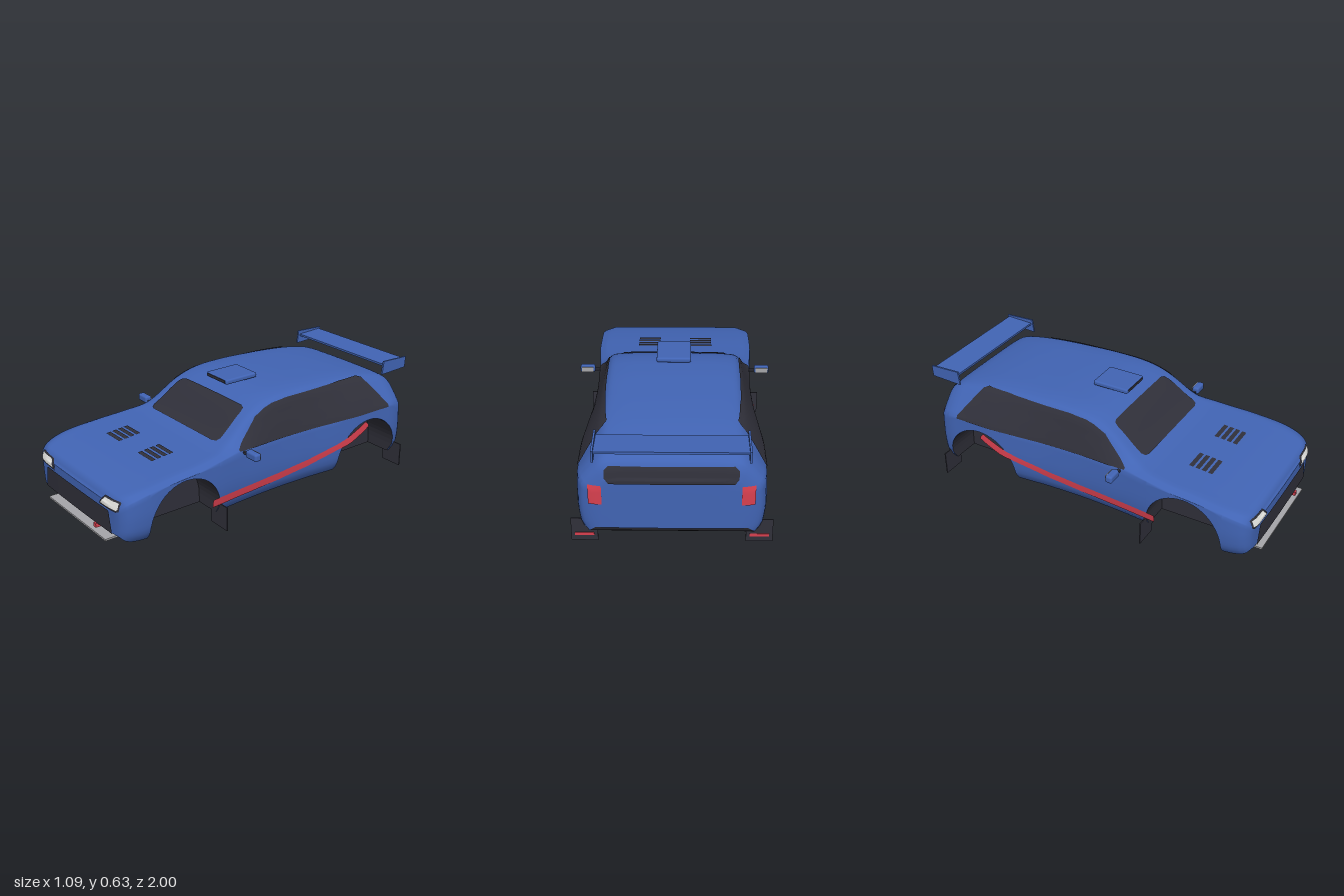
import * as THREE from 'three';
import { RoundedBoxGeometry } from 'three/addons/geometries/RoundedBoxGeometry.js';

const paint = (name, color) => new THREE.MeshStandardMaterial({ name, color, side: THREE.DoubleSide });

// Smooth monotone curve through [position, value] pairs in rising order
function curve(p) {
  const n = p.length;
  const d = p.slice(1).map((q, i) => (q[1] - p[i][1]) / (q[0] - p[i][0]));
  const m = p.map((_, i) => {
    if (i === 0) return d[0];
    if (i === n - 1) return d[n - 2];
    return d[i - 1] * d[i] <= 0 ? 0 : (2 * d[i - 1] * d[i]) / (d[i - 1] + d[i]);
  });
  return (x) => {
    if (x <= p[0][0]) return p[0][1];
    if (x >= p[n - 1][0]) return p[n - 1][1];
    let i = 0;
    while (x > p[i + 1][0]) i++;
    const h = p[i + 1][0] - p[i][0], t = (x - p[i][0]) / h, t2 = t * t, t3 = t2 * t;
    return (2 * t3 - 3 * t2 + 1) * p[i][1] + (t3 - 2 * t2 + t) * h * m[i]
      + (3 * t2 - 2 * t3) * p[i + 1][1] + (t3 - t2) * h * m[i + 1];
  };
}

// Body outlines along z: half width, roof line, belt line, roof half width, underside
const width = curve([[-.925, .38], [-.91, .425], [-.87, .455], [-.8, .465], [-.6, .465], [-.4, .45], [-.2, .432], [0, .426],
  [.2, .432], [.45, .452], [.6, .461], [.8, .461], [.88, .452], [.93, .435], [.96, .41], [.975, .38]]);
const roof = curve([[-.925, .41], [-.915, .46], [-.9, .487], [-.87, .515], [-.8, .542], [-.6, .575], [-.4, .59], [-.2, .598], [-.1, .597],
  [0, .587], [.05, .575], [.1, .556], [.15, .53], [.2, .495], [.25, .455], [.3, .42], [.35, .398], [.4, .388], [.5, .378],
  [.62, .369], [.75, .354], [.85, .338], [.93, .318], [.96, .3], [.975, .27]]);
const belt = curve([[-.925, .34], [-.89, .37], [-.8, .385], [-.2, .385], [.2, .38], [.35, .37], [.5, .357], [.62, .35],
  [.75, .34], [.85, .322], [.93, .295], [.96, .27], [.975, .24]]);
const roofHalf = curve([[-.925, .32], [-.89, .335], [-.6, .338], [0, .345], [.2, .352], [.3, .365], [.4, .4], [.6, .415], [.8, .41], [.93, .385], [.975, .33]]);
const under = curve([[-.925, .125], [-.91, .095], [-.87, .07], [.89, .07], [.94, .08], [.975, .11]]);
const sideTaper = curve([[.07, .9], [.1, .95], [.14, .983], [.23, 1], [.4, .985]]);
const sideX = (y, z) => width(z) * sideTaper(y);

// Wheel arches
const ARCHES = [.622, -.63], RADIUS = .213, AXLE = .125, WELL = .26;

function makeStations() {
  const list = [];
  const plain = (z, s = 1, at = z) => list.push({ z, s, at, y0: under(at), arch: false });
  for (let i = 0; i <= 64; i++) {
    const z = -.925 + 1.9 * i / 64;
    if (ARCHES.every((c) => Math.abs(z - c) > RADIUS + .004)) plain(z);
  }
  [-.918, -.91, -.9, -.88, .93, .952, .962, .969].forEach((z) => plain(z));
  [[.98, .9], [.983, .5], [.984, 0]].forEach(([z, s]) => plain(z, s, .975));
  [[-.93, .9], [-.932, .5], [-.933, 0]].forEach(([z, s]) => plain(z, s, -.925));
  for (const c of ARCHES) {
    [-1, 1].forEach((k) => plain(c + k * (RADIUS + .0005)));
    for (let i = 0; i <= 24; i++) {
      const a = Math.PI * i / 24, z = c + RADIUS * Math.cos(a);
      list.push({ z, s: 1, at: z, y0: AXLE + RADIUS * Math.sin(a), arch: true });
    }
  }
  return list.sort((a, b) => a.z - b.z);
}

// Surface through rows of equally many points
function loft(rows, faceted = false) {
  const n = rows[0].length, index = [];
  for (let i = 0; i < rows.length - 1; i++) {
    for (let j = 0; j < n - 1; j++) {
      const a = i * n + j, c = a + n;
      index.push(a, a + 1, c, a + 1, c + 1, c);
    }
  }
  let g = new THREE.BufferGeometry();
  g.setAttribute('position', new THREE.Float32BufferAttribute(rows.flat(2), 3));
  g.setIndex(index);
  if (faceted) g = g.toNonIndexed();
  g.computeVertexNormals();
  return g;
}

// Cross-section of the shell from the left sill over the roof to the right sill
function shellRow({ z, s, at, y0 }) {
  const S = belt(at), T = roof(at), R = roofHalf(at), half = [];
  for (let i = 0; i < 10; i++) {
    const y = y0 + (S - y0) * i / 10;
    half.push([sideX(y, at), y]);
  }
  const D = sideX(S, at), h = T - S;
  const top = new THREE.CatmullRomCurve3([[D, S], [D + (R - D) * .5, S + h * .5], [R, S + h * .88], [R * .82, S + h * .965], [R * .4, T - h * .005], [0, T]]
    .map(([x, y]) => new THREE.Vector3(x, y, 0)));
  top.getPoints(20).forEach((p) => half.push([p.x, p.y]));
  const left = half.map(([x, y]) => [x * s, y, z]);
  return left.concat(left.slice(0, -1).reverse().map(([x, y]) => [-x, y, z]));
}

// Floor, wheel-well roof and inner well wall
function underRow({ z, s, at, y0, arch }) {
  const floor = under(at), e = sideX(y0, at) * s, w = Math.min(WELL, e);
  const right = [[e, y0], [w, y0], [w, arch ? floor : y0], [0, floor]];
  return right.map(([x, y]) => [-x, y, z]).concat(right.slice(0, -1).reverse().map(([x, y]) => [x, y, z]));
}

// Grid between two edge lines, given as [u, low, high] in rising u
function patch(outline, place) {
  const rows = [];
  outline.forEach((p, k) => {
    const q = outline[k + 1], steps = q ? Math.ceil(Math.abs(q[0] - p[0]) / .025) : 1;
    for (let i = 0; i < steps; i++) {
      const [u, lo, hi] = p.map((v, c) => (q ? v + (q[c] - v) * i / steps : v));
      rows.push(Array.from({ length: 13 }, (_, j) => place(u, lo + (hi - lo) * j / 12, (lo + hi) / 2)));
    }
  });
  return loft(rows);
}

export function createModel() {
  const blue = paint('blue paint', 0x4164b4), dark = paint('dark trim', 0x30303a), red = paint('red accent', 0xd8404f);
  const white = paint('headlight white', 0xe6e6e2), grey = paint('metal grey', 0xa6a6aa);
  const car = new THREE.Group();
  car.name = 'rallyCar';
  const add = (name, geometry, material, x = 0, y = 0, z = 0) => {
    const mesh = new THREE.Mesh(geometry, material);
    mesh.name = name;
    mesh.position.set(x, y, z);
    car.add(mesh);
    return mesh;
  };
  const box = (w, h, d) => new THREE.BoxGeometry(w, h, d);

  // Shell and underside
  const stations = makeStations();
  const body = add('bodyShell', loft(stations.map(shellRow)), blue);
  add('underbody', loft(stations.map(underRow), true), dark);

  // Thin skin laid on the shell, seen along one axis from one side
  const ray = new THREE.Raycaster();
  const axes = { x: (u, v, s) => [s * 3, v, u], y: (u, v, s) => [v, s * 3, u], z: (u, v, s) => [u, v, s * 3] };
  const skin = (name, material, axis, sign, outline, lift = .005) => {
    const dir = new THREE.Vector3();
    dir[axis] = -sign;
    const place = (u, v, mid) => {
      for (let k = 0; k < 30; k++) {
        const from = new THREE.Vector3(...axes[axis](u, v + (mid - v) * k / 30, sign));
        ray.set(from, dir);
        const hit = ray.intersectObject(body)[0];
        if (hit) {
          const n = hit.face.normal.clone();
          if (n.dot(dir) > 0) n.negate();
          return hit.point.addScaledVector(n, lift).toArray();
        }
      }
      return axes[axis](u, mid, sign * .3);
    };
    add(name, patch(outline, place), material);
  };

  // Glass
  skin('windscreen', dark, 'y', 1, [[.12, -.25, .25], [.128, -.275, .275], [.15, -.285, .285], [.3, -.305, .305], [.32, -.297, .297], [.33, -.27, .27]]);
  skin('rearWindow', dark, 'z', -1, [[-.32, .41, .45], [-.3, .385, .47], [.3, .385, .47], [.32, .41, .45]]);
  const sideGlass = [[-.78, .38, .395], [-.67, .38, .545], [-.64, .38, .556], [-.5, .38, .562], [-.1, .38, .566], [0, .38, .558], [.05, .38, .545],
    [.12, .38, .515], [.2, .38, .445], [.25, .38, .405], [.27, .38, .388]];

  // Grille
  skin('grille', dark, 'z', 1, [[-.33, .105, .12], [-.31, .1, .225], [-.3, .1, .23], [.3, .1, .23], [.31, .1, .225], [.33, .105, .12]]);

  for (const s of [1, -1]) {
    const side = s > 0 ? 'left' : 'right';
    const mirror = (o) => (s > 0 ? o : o.map(([u, a, b]) => [-u, a, b]));
    skin(side + 'SideWindow', dark, 'x', s, sideGlass);

    // Lamps
    skin(side + 'HeadlightFrame', dark, 'z', 1, mirror([[.228, .238, .248], [.262, .238, .29], [.37, .241, .295], [.388, .25, .293]]), .004);
    skin(side + 'Headlight', white, 'z', 1, mirror([[.24, .247, .25], [.268, .247, .283], [.365, .249, .288], [.38, .256, .286]]), .008);
    skin(side + 'TailLight', red, 'z', -1, mirror([[.335, .265, .37], [.4, .265, .37]]));

    // Bonnet vents
    for (let i = 0; i < 4; i++) {
      const z = .55 + i * .036;
      skin(side + 'BonnetVent', dark, 'y', 1, [[z - .012, s * .09, s * .22], [z + .012, s * .09, s * .22]], .004);
    }

    // Sweeping side stripe
    const stripe = [[-.62, .3, .315], [-.6, .288, .335], [-.5, .235, .285], [-.46, .222, .265], [-.4, .212, .247], [-.2, .165, .205], [0, .141, .183], [.2, .131, .175], [.46, .13, .175]];
    add(side + 'Stripe', patch(stripe, (z, y) => [s * (sideX(y, z) + .004), y, z]), red);

    // Door mirror
    add(side + 'MirrorHousing', new RoundedBoxGeometry(.084, .042, .04, 3, .012), blue, s * .502, .38, .242);
    add(side + 'MirrorGlass', box(.068, .03, .004), grey, s * .502, .38, .221);
    add(side + 'MirrorStalk', box(.07, .012, .016), dark, s * .435, .372, .242);

    // Mud flaps with a red band on the back
    for (const z of [.405, -.865]) {
      add(side + 'MudFlap', box(.133, .133, .006), dark, s * .433, .0665, z);
      add(side + 'MudFlapBand', box(.095, .016, .004), red, s * .433, .04, z - .004);
    }

    // Spoiler end plate
    const plate = new THREE.Shape([[.81, .54], [.995, .547], [1, .61], [.82, .617]].map((p) => new THREE.Vector2(...p)));
    const plateGeo = new THREE.ExtrudeGeometry(plate, { depth: .01, bevelEnabled: false });
    plateGeo.rotateY(Math.PI / 2);
    add(side + 'SpoilerEndPlate', plateGeo, blue, s * .365 - .005, 0, 0);
  }

  // Spoiler blade
  add('spoilerBlade', box(.725, .012, .16), blue, 0, .592, -.909).rotation.x = .04;

  // Roof scoop
  add('roofScoop', new RoundedBoxGeometry(.184, .028, .21, 3, .01), blue, 0, .616, -.008);
  add('roofScoopOpening', box(.155, .015, .004), dark, 0, .617, .097);

  // Front splitter and tow hook
  add('splitter', box(.58, .01, .13), grey, 0, .06, .935);
  add('towHook', box(.022, .022, .025), red, .187, .1, .985);
  return car;
}
